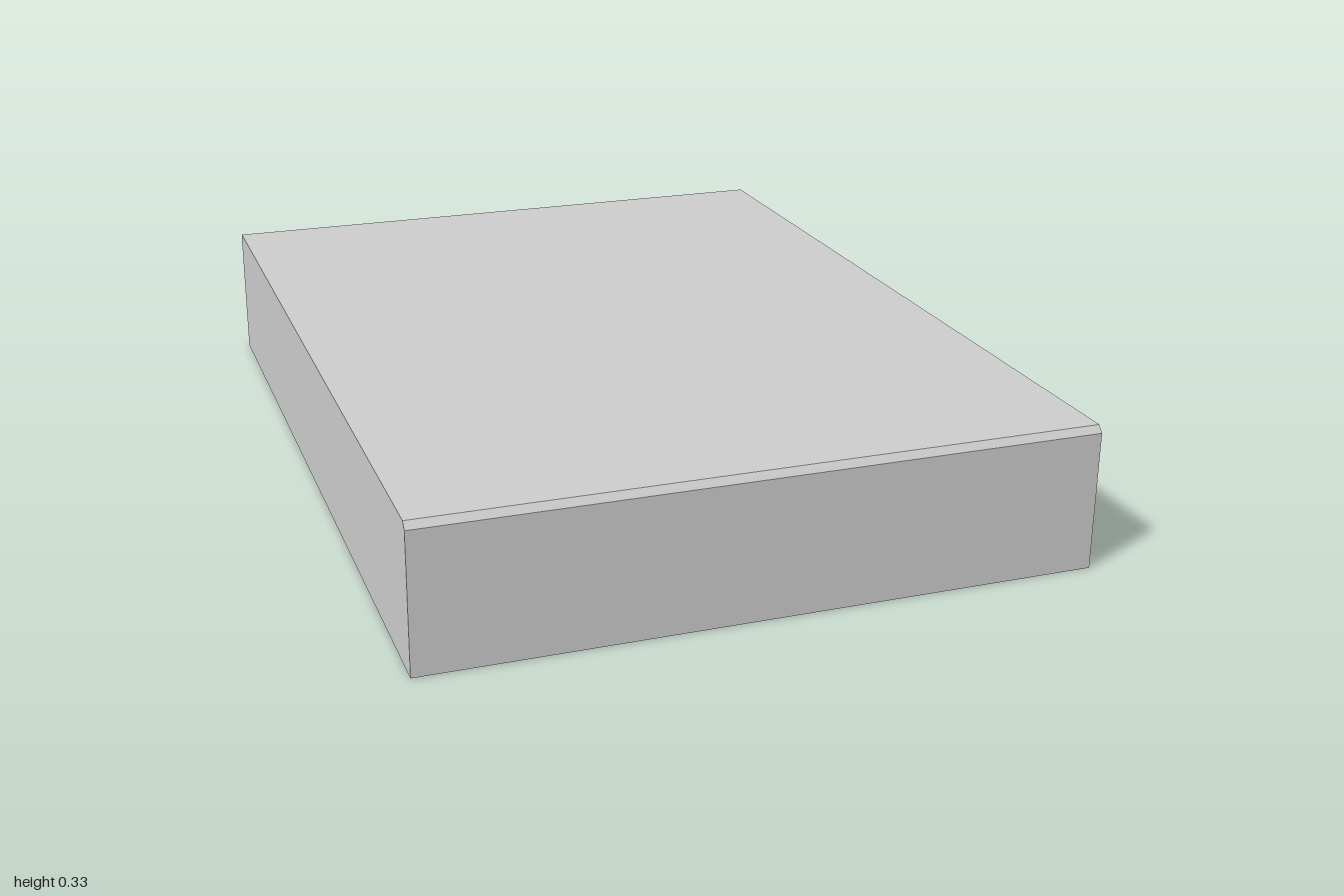
import * as THREE from 'three';

const W = 0.745;  // half width
const L = 1;      // half length
const H = 0.312;  // wall height
const T = 0.015;  // sheet thickness

export function createModel() {
  const model = new THREE.Group();
  const mat = new THREE.MeshStandardMaterial({ color: 0xcccccc, flatShading: true });

  const add = (name, geometry) => {
    const mesh = new THREE.Mesh(geometry, mat);
    mesh.name = name;
    model.add(mesh);
    return mesh;
  };

  // Upright panel covering the given x and z ranges
  const wall = (name, x0, x1, z0, z1) =>
    add(name, new THREE.BoxGeometry(x1 - x0, H, z1 - z0))
      .position.set((x0 + x1) / 2, H / 2, (z0 + z1) / 2);

  // Top plate: side profile with bevelled front and back edges, run across x
  const profile = new THREE.Shape([
    [-L, H], [L, H], [L - 0.006, H + T], [-L + 0.013, H + T],
  ].map(([u, y]) => new THREE.Vector2(u, y)));
  const plate = new THREE.ExtrudeGeometry(profile, { depth: 2 * W, bevelEnabled: false });
  plate.translate(0, 0, -W).rotateY(Math.PI / 2);
  add('topPlate', plate);

  // End walls
  wall('frontWall', -W, W, L - T, L);
  wall('backWall', -W, W, -L, -L + T);

  // Closed side, and the side interrupted by a full-height opening
  wall('rightWall', -W, -W + T, -L + T, L - T);
  wall('leftWallFront', W - T, W, 0.465, L - T);
  wall('leftWallBack', W - T, W, -L + T, 0.065);

  return model;
}
